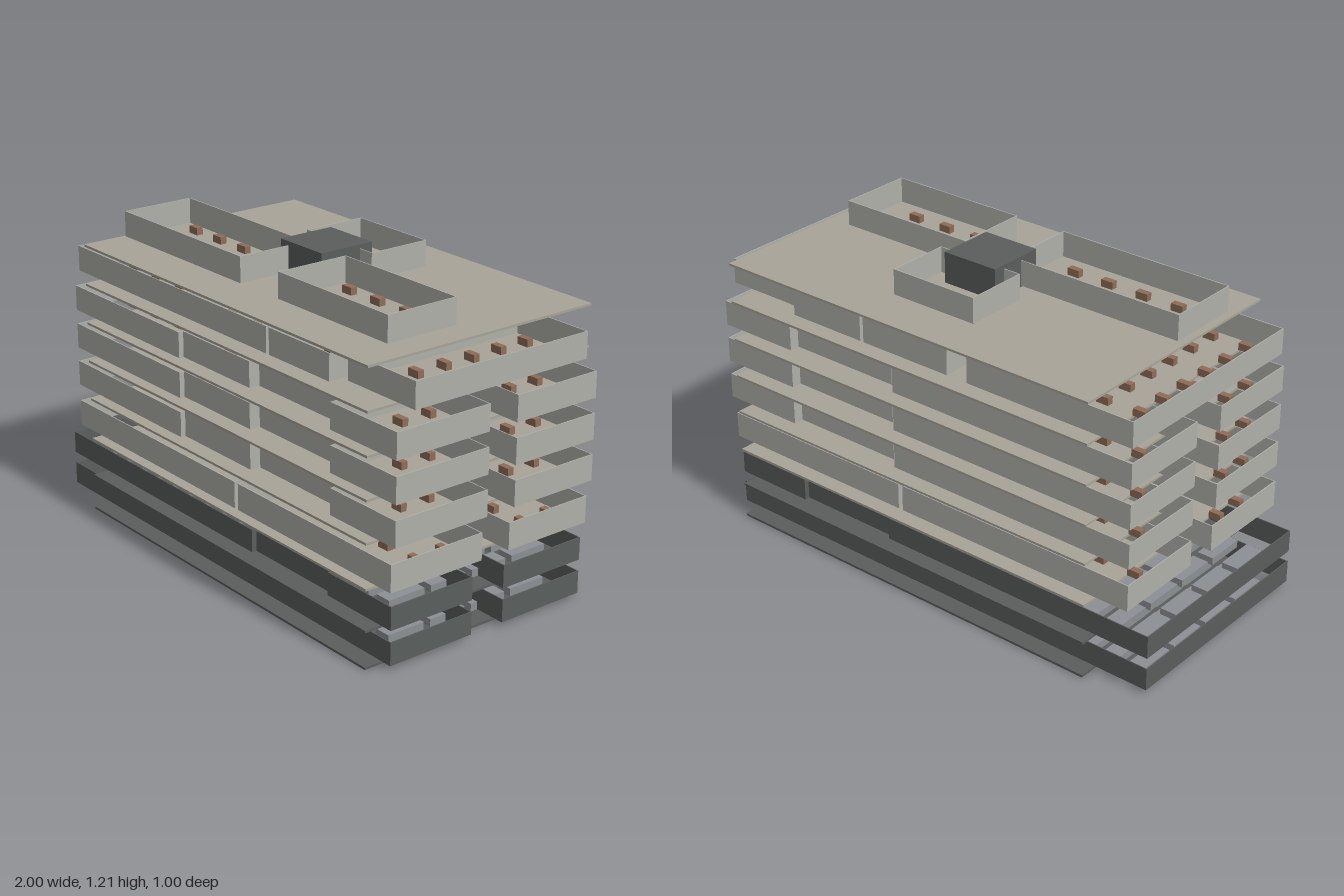
import * as THREE from 'three';

const mat = (color) => new THREE.MeshStandardMaterial({ color });

export function createModel() {
  const model = new THREE.Group();
  model.name = 'building';
  const wallMat = mat(0xb0b0aa), slabMat = mat(0xa8a498), darkMat = mat(0x5a5e5c);
  const deskMat = mat(0x8f6c58), carMat = mat(0x8c9094);
  const T = 0.004; // wall thickness

  // box given by its extents on each axis
  function box(parent, name, m, x0, x1, y0, y1, z0, z1) {
    const mesh = new THREE.Mesh(new THREE.BoxGeometry(x1 - x0, y1 - y0, z1 - z0), m);
    mesh.position.set((x0 + x1) / 2, (y0 + y1) / 2, (z0 + z1) / 2);
    mesh.name = name;
    parent.add(mesh);
  }

  // room: four thin walls, open above and below
  function room(parent, m, [x0, x1, z0, z1], y0, y1) {
    const g = new THREE.Group();
    g.name = 'room';
    box(g, 'frontWall', m, x0, x1, y0, y1, z1 - T, z1);
    box(g, 'backWall', m, x0, x1, y0, y1, z0, z0 + T);
    box(g, 'leftWall', m, x1 - T, x1, y0, y1, z0 + T, z1 - T);
    box(g, 'rightWall', m, x0, x0 + T, y0, y1, z0 + T, z1 - T);
    parent.add(g);
  }

  // rows of small desks filling a room
  function desks(parent, [x0, x1, z0, z1, offset = 0.11], y) {
    for (let x = x0 + offset; x < x1 - 0.08; x += 0.153)
      for (let z = z0 + 0.068; z < z1 - 0.06; z += 0.125) {
        const inCore = x > -0.09 && x < 0.21 && Math.abs(z) < 0.13;
        if (!inCore) box(parent, 'desk', deskMat, x - 0.025, x + 0.025, y, y + 0.028, z - 0.013, z + 0.013);
      }
  }

  // room plans: [x0, x1, z0, z1, desk offset]
  const garage = [[-1, 0.19, -0.44, 0.44], [0.625, 0.96, 0.075, 0.44], [0.625, 0.96, -0.44, -0.07], [0.19, 0.625, -0.42, 0.42]];
  const lowerGarage = [[-1, 0.625, -0.44, 0.44], garage[1], garage[2]];
  const ground = [];
  for (const [x0, x1] of [[-0.91, 0.115], [0.135, 0.98]])
    ground.push([x0, x1, 0.055, 0.46], [x0, x1, -0.44, -0.07]);
  const typical = [
    [-0.91, -0.215, 0.07, 0.46], [-0.215, 0.185, 0.12, 0.44], [-0.91, 0.15, -0.44, -0.07],
    [0.19, 0.66, -0.4, 0.4], [0.66, 1, 0.055, 0.46], [0.66, 1, -0.44, -0.07],
  ];
  const upper = [
    [-0.91, -0.2, -0.44, 0.44], [-0.2, 0.285, 0.13, 0.44], [-0.11, 0.285, -0.44, -0.13],
    [0.3, 0.63, -0.44, 0.44], [0.66, 1, -0.385, 0.385],
  ];
  const roof = [[-0.745, -0.01, 0.03, 0.33, 0.135], [0.21, 0.795, 0.03, 0.33, 0.105], [-0.125, 0.245, -0.315, -0.06, 0.07]];

  // levels: slab base, wall base, wall top, core top
  const levels = [
    { s: 0, w: 0.02, t: 0.108, c: 0.13, plan: lowerGarage, garage: true },
    { s: 0.138, w: 0.152, t: 0.24, c: 0.265, plan: garage, garage: true },
    { s: 0.293, w: 0.305, t: 0.408, c: 0.42, plan: ground },
    { s: 0.46, w: 0.474, t: 0.573, c: 0.588, plan: typical },
    { s: 0.615, w: 0.629, t: 0.728, c: 0.743, plan: typical },
    { s: 0.77, w: 0.784, t: 0.883, c: 0.897, plan: typical },
    { s: 0.925, w: 0.94, t: 1.039, c: 1.052, plan: upper },
    { s: 1.08, w: 1.095, t: 1.194, c: 1.21, plan: roof },
  ];

  levels.forEach((L, i) => {
    const g = new THREE.Group();
    g.name = 'level' + i;
    box(g, 'floorSlab', L.garage ? darkMat : slabMat, -0.77, 0.9, L.s, L.s + 0.009, -0.5, 0.5);
    box(g, 'liftCore', darkMat, -0.055, 0.18, L.s + 0.009, L.c, -0.115, 0.115);
    for (const plan of L.plan) {
      room(g, L.garage ? darkMat : wallMat, plan, L.w, L.t);
      if (!L.garage) desks(g, plan, L.w);
    }
    // parked cars in four rows
    if (L.garage)
      for (let x = -0.913; x < 0.9; x += 0.107)
        for (let r = 0; r < 4; r++) {
          const z = -0.31 + r * 0.19;
          if (x > -0.1 && x < 0.22 && (r === 1 || r === 2)) continue;
          box(g, 'car', carMat, x - 0.033, x + 0.033, L.w, L.w + 0.03, z - 0.08, z + 0.08);
        }
    model.add(g);
  });
  return model;
}
